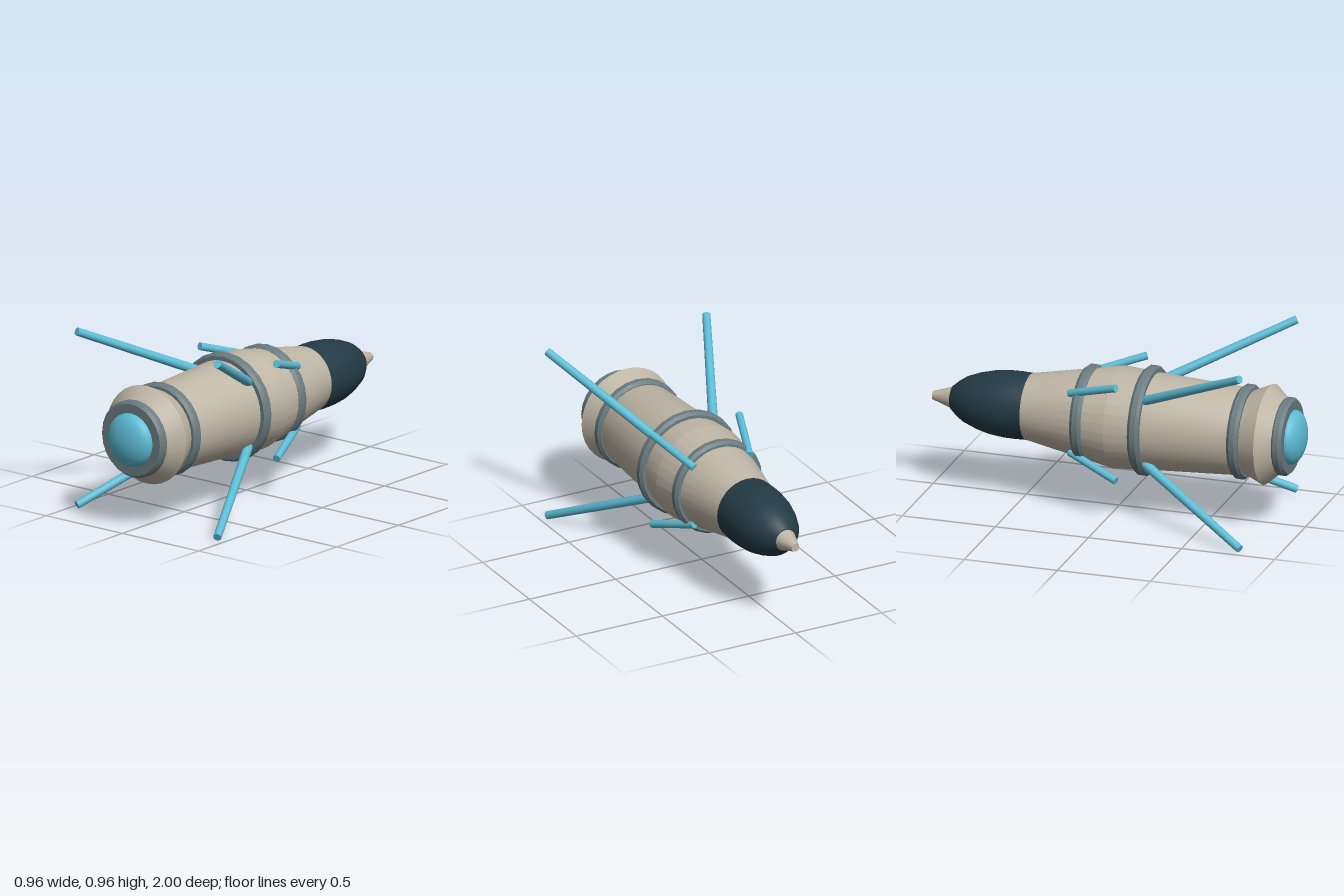
import * as THREE from 'three';
import { toCreasedNormals } from 'three/addons/utils/BufferGeometryUtils.js';

const AXIS_Y = 0.484;

export function createModel() {
  const model = new THREE.Group();
  model.name = 'rocket';

  const mat = (name, color) => {
    const m = new THREE.MeshStandardMaterial({ color });
    m.name = name;
    return m;
  };
  const hull = mat('warm grey hull', 0xbfb6a5);
  const band = mat('slate grey band', 0x6b7b80);
  const dark = mat('dark teal nose', 0x233b45);
  const cyan = mat('cyan', 0x5cbcd5);

  const add = (name, geometry, material) => {
    const mesh = new THREE.Mesh(geometry, material);
    mesh.name = name;
    model.add(mesh);
    return mesh;
  };

  // Turned part along z; profile is [radius, z] with z rising
  const turned = (name, profile, material, segments = 24) => {
    const points = profile.map(([r, z]) => new THREE.Vector2(r, z));
    const geometry = new THREE.LatheGeometry(points, segments).rotateX(Math.PI / 2);
    add(name, toCreasedNormals(geometry, 0.3), material).position.y = AXIS_Y;
  };

  // Hull with flared front collar
  turned('hull', [
    [0, -0.48], [0.172, -0.48], [0.265, 0], [0.25, 0.19], [0.225, 0.68],
    [0.218, 0.71], [0.26, 0.805], [0.19, 0.885], [0, 0.885],
  ], hull, 32);

  // Rounded nose and its tip
  turned('nose', [
    [0, -0.895], [0.062, -0.895], [0.092, -0.86], [0.119, -0.82], [0.146, -0.75],
    [0.164, -0.68], [0.173, -0.6], [0.174, -0.54], [0.172, -0.48], [0, -0.48],
  ], dark, 32);
  turned('noseTip', [[0, -1], [0.022, -1], [0.058, -0.89], [0, -0.89]], hull);

  // Chamfered bands around the hull
  for (const [z, r] of [[-0.16, 0.255], [0.16, 0.285], [0.68, 0.246]]) {
    turned('band', [
      [r - 0.06, z - 0.03], [r - 0.013, z - 0.03], [r, z - 0.014],
      [r, z + 0.014], [r - 0.013, z + 0.03], [r - 0.06, z + 0.03],
    ], band);
  }

  // Front rim and domed lens
  turned('frontRim', [
    [0, 0.872], [0.19, 0.872], [0.203, 0.888], [0.203, 0.914], [0.19, 0.93], [0, 0.93],
  ], band);
  const dome = new THREE.SphereGeometry(0.141, 32, 12, 0, Math.PI * 2, 0, Math.PI / 2);
  dome.rotateX(Math.PI / 2).scale(1, 1, 0.07 / 0.141);
  add('lens', dome, cyan).position.set(0, AXIS_Y, 0.93);

  // Four long and four short diagonal rods; d is the offset on both x and y
  const rod = (name, sx, sy, [d0, z0, r0], [d1, z1, r1]) => {
    const a = new THREE.Vector3(sx * d0, AXIS_Y + sy * d0, z0);
    const b = new THREE.Vector3(sx * d1, AXIS_Y + sy * d1, z1);
    const dir = b.clone().sub(a);
    const mesh = add(name, new THREE.CylinderGeometry(r1, r0, dir.length(), 16), cyan);
    mesh.position.copy(a).add(b).multiplyScalar(0.5);
    mesh.quaternion.setFromUnitVectors(new THREE.Vector3(0, 1, 0), dir.normalize());
  };
  for (const sx of [1, -1]) {
    for (const sy of [1, -1]) {
      rod('longRod', sx, sy, [0.172, 0.195, 0.025], [0.461, 0.8, 0.021]);
      rod('shortRod', sx, sy, [0.16, -0.215, 0.02], [0.252, 0.065, 0.02]);
    }
  }

  return model;
}
